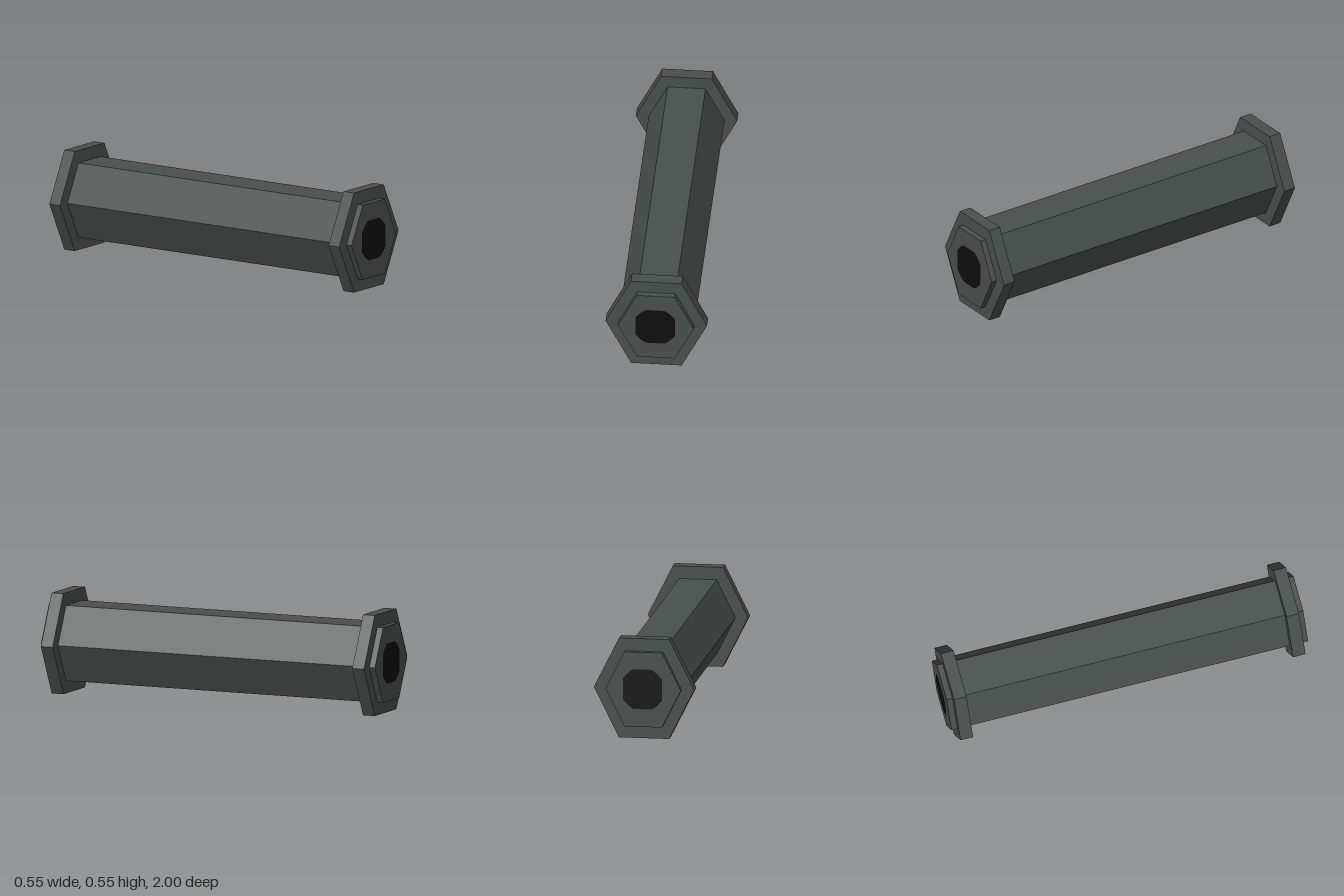
import * as THREE from 'three';

const CENTRE_Y = 0.275;

// Hexagon with flat top and bottom, as wide as it is tall
function hexagon(r) {
  const h = r / 2;
  return new THREE.Shape([[r, 0], [h, r], [-h, r], [-r, 0], [-h, -r], [h, -r]]
    .map(([x, y]) => new THREE.Vector2(x, y)));
}

// Hexagonal prism centred on its own middle along z
function hexPrism(name, r, depth, material) {
  const geometry = new THREE.ExtrudeGeometry(hexagon(r), { depth, bevelEnabled: false });
  geometry.translate(0, 0, -depth / 2);
  const mesh = new THREE.Mesh(geometry, material);
  mesh.name = name;
  return mesh;
}

// Rounded octagonal outline of the bore, mirrored into four quadrants
function boreShape() {
  const q = [[0.107, 0.058], [0.079, 0.09], [0.051, 0.11]];
  const back = [...q].reverse();
  const points = [
    ...q,
    ...back.map(([x, y]) => [-x, y]),
    ...q.map(([x, y]) => [-x, -y]),
    ...back.map(([x, y]) => [x, -y]),
  ];
  return new THREE.Shape(points.map(([x, y]) => new THREE.Vector2(x, y)));
}

export function createModel() {
  const metal = new THREE.MeshStandardMaterial({ color: 0x484f4d });
  metal.name = 'dark grey metal';
  const black = new THREE.MeshStandardMaterial({ color: 0x0e0e0e });
  black.name = 'black opening';

  const model = new THREE.Group();
  model.name = 'hexagonalTube';

  // Long shaft
  const shaft = hexPrism('shaft', 0.206, 1.996, metal);
  shaft.position.y = CENTRE_Y;
  model.add(shaft);

  // Matching collar and painted opening at each end
  for (const [label, side] of [['front', 1], ['back', -1]]) {
    const end = new THREE.Group();
    end.name = label + 'End';

    const collar = hexPrism(label + 'Collar', 0.275, 0.07, metal);
    collar.position.z = 0.93;

    const opening = new THREE.Mesh(new THREE.ShapeGeometry(boreShape()), black);
    opening.name = label + 'Opening';
    opening.position.set(-0.003, 0.002, 1);

    end.add(collar, opening);
    end.position.y = CENTRE_Y;
    if (side < 0) end.rotation.y = Math.PI;
    model.add(end);
  }
  return model;
}
